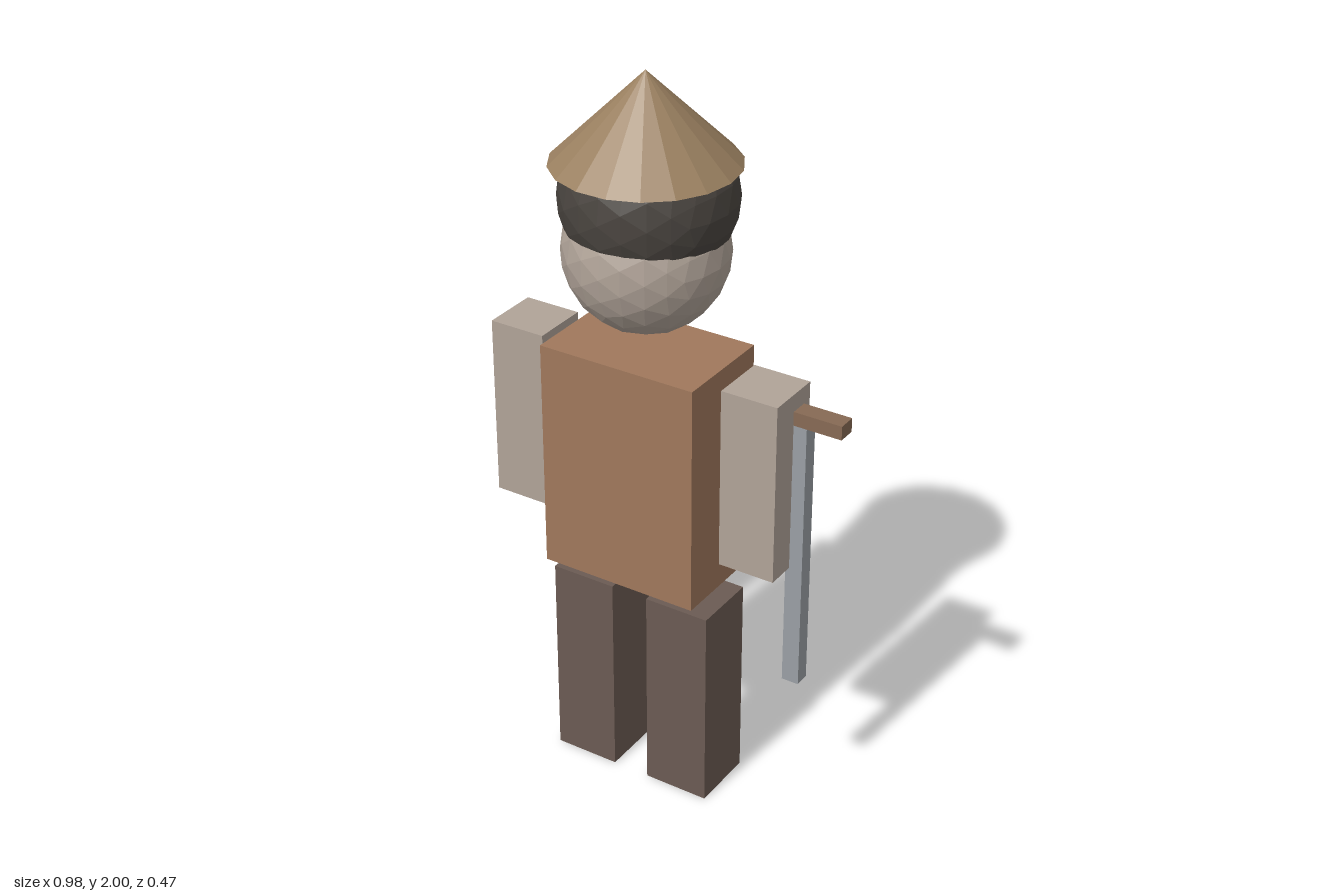
import * as THREE from 'three';

const material = (color) => new THREE.MeshStandardMaterial({ color, flatShading: true });

export function createModel() {
  const model = new THREE.Group();
  const centreX = -0.068; // body axis; the sword widens the model on its left

  const skin = material(0xb0a398);
  const cloth = material(0xa0785c);
  const trousers = material(0x6b5b53);
  const hair = material(0x4a4540);
  const straw = material(0x9a8060);
  const steel = material(0x9a9fa4);
  const wood = material(0x876a54);

  function add(name, geometry, mat, x, y, z) {
    const mesh = new THREE.Mesh(geometry, mat);
    mesh.name = name;
    mesh.position.set(x, y, z);
    model.add(mesh);
    return mesh;
  }
  const box = (name, mat, w, h, d, x, y, z) =>
    add(name, new THREE.BoxGeometry(w, h, d), mat, x, y, z);

  // Body
  box('torso', cloth, 0.448, 0.635, 0.29, centreX, 0.957, 0);

  // Mirrored limbs
  for (const [side, s] of [['left', 1], ['right', -1]]) {
    box(side + 'Arm', skin, 0.158, 0.5, 0.158, centreX + s * 0.344, 1.01, 0);
    box(side + 'Leg', trousers, 0.184, 0.583, 0.184, centreX + s * 0.145, 0.2915, 0);
  }

  // Head with a slightly larger ball of hair, set back a little
  add('head', new THREE.IcosahedronGeometry(0.211, 3), skin, centreX, 1.54, 0);
  add('hair', new THREE.IcosahedronGeometry(0.224, 3), hair, centreX, 1.68, -0.012);

  // Conical straw hat
  const hat = add('hat', new THREE.ConeGeometry(0.238, 0.232, 18), straw, centreX, 1.884, 0);
  hat.rotation.y = Math.PI / 2;

  // Sword hanging point down at the left arm
  box('swordBlade', steel, 0.048, 0.78, 0.042, 0.368, 0.802, -0.023);
  box('swordGuard', wood, 0.243, 0.038, 0.05, 0.367, 1.193, -0.026);

  return model;
}
